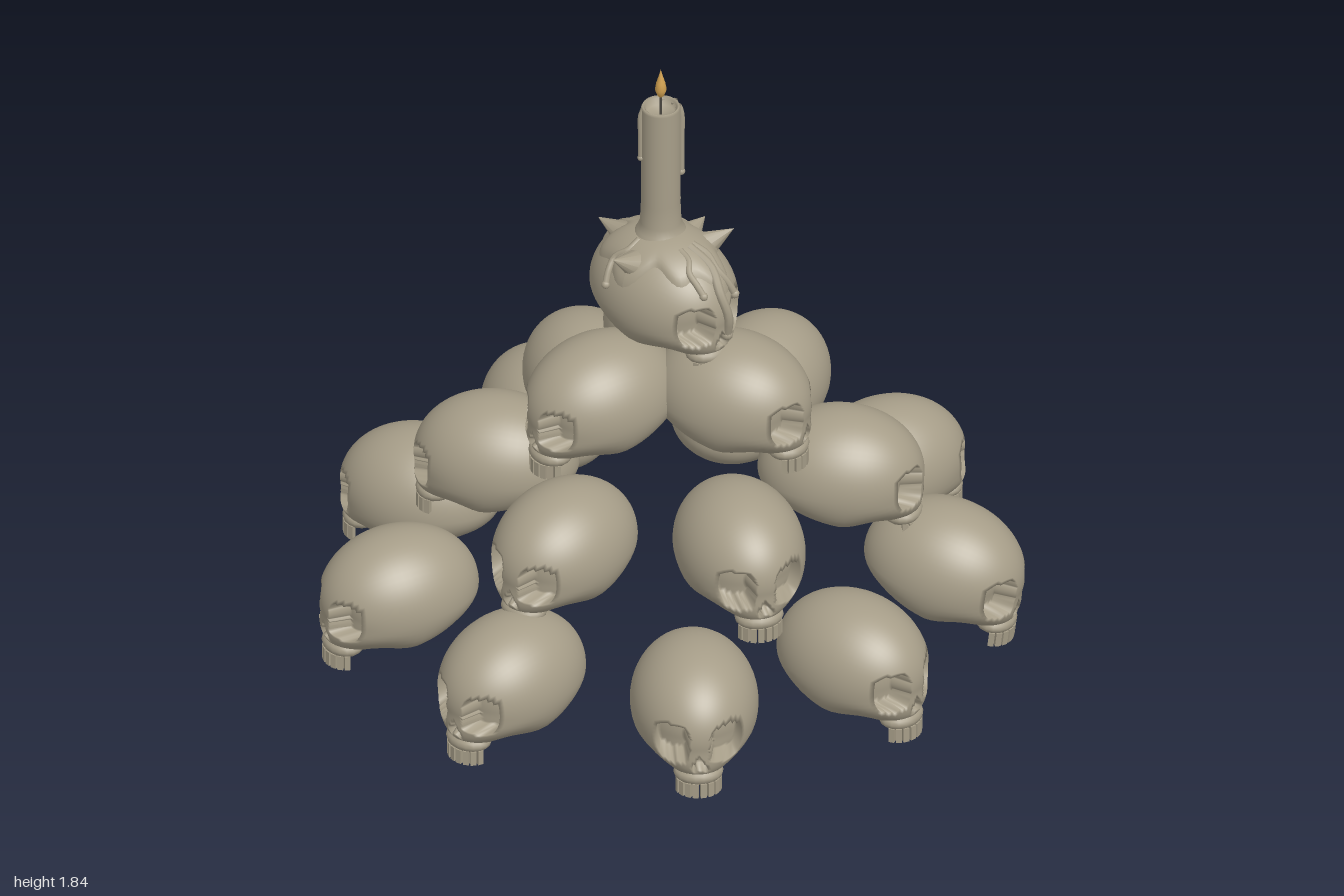
import * as THREE from 'three';
import { mergeVertices, mergeGeometries } from 'three/addons/utils/BufferGeometryUtils.js';

const mat = (name, color) => {
  const m = new THREE.MeshStandardMaterial({ color, side: THREE.DoubleSide });
  m.name = name;
  return m;
};
const step = (v, a, b) => THREE.MathUtils.smoothstep(v, a, b);
const RX = 0.182, RY = 0.19, RZ = 0.237; // cranium half sizes

// Cranium: a sphere with its pole at the face, reshaped by rules
function craniumGeometry() {
  let g = new THREE.SphereGeometry(1, 60, 42).rotateX(Math.PI / 2);
  const p = g.attributes.position;
  for (let i = 0; i < p.count; i++) {
    const t = Math.acos(THREE.MathUtils.clamp(p.getZ(i), -1, 1)) / Math.PI;
    const a = Math.atan2(p.getY(i), p.getX(i));
    const th = Math.PI * Math.pow(t, 1.6); // finer rings over the face
    let x = RX * Math.sin(th) * Math.cos(a);
    let y = RY * Math.sin(th) * Math.sin(a);
    let z = RZ * Math.cos(th);
    // flatter brow and cheeks, narrow lower face
    if (z > 0 && y < 0) {
      z += 0.03 * step(-y, 0.02, 0.12) * step(z, 0.05, 0.18);
      x *= 1 - 0.38 * step(-y, 0.04, 0.17) * step(z, 0, 0.15);
    }
    // base rises to the back and is hollow beneath
    if (y < 0) {
      y *= 1 - 0.35 * step(-z, -0.08, 0.18);
      if (y < -0.06) y += 0.075 * step(-y, 0.06, 0.12) * Math.exp(-((x / 0.09) ** 2) - ((z - 0.01) / 0.09) ** 2);
    }
    if (z > 0.08) {
      // jagged eye sockets
      const ex = (Math.abs(x) - 0.074) / 0.041, ey = (y + 0.005 + (x > 0 ? 0.006 : 0)) / 0.053;
      const ea = Math.atan2(ey, ex);
      const edge = 1 + 0.12 * Math.sin(5 * ea + (x > 0 ? 1 : 3));
      if (ex ** 4 + ey ** 4 < edge) z -= 0.06;
      // nose opening
      const ny = (y + 0.05) / -0.036;
      if (ny > 0 && ny < 1 && Math.abs(x) < 0.005 + 0.013 * ny) z -= 0.03;
    }
    p.setXYZ(i, x, y, z);
  }
  g.deleteAttribute('uv');
  g.deleteAttribute('normal');
  g = mergeVertices(g, 1e-5);
  g.computeVertexNormals();
  return g;
}

function teethGeometry() {
  const list = [];
  for (let i = 0; i < 8; i++) {
    const a = -1.25 + (2.5 * i) / 7;
    list.push(new THREE.BoxGeometry(0.017, 0.045, 0.014).rotateY(a)
      .translate(0.06 * Math.sin(a), -0.161, 0.172 + 0.052 * Math.cos(a)));
  }
  return mergeGeometries(list);
}

// Point on the cranium: azimuth from the face, polar angle from the crown
const onHead = (a, t, off = 0) => new THREE.Vector3(
  (RX + off) * Math.sin(t) * Math.sin(a), (RY + off) * Math.cos(t), (RZ + off) * Math.sin(t) * Math.cos(a));

export function createModel() {
  const root = new THREE.Group();
  const stone = mat('stone', 0xa69d88);
  const wickMat = mat('wick', 0x4a4740);
  const flameMat = mat('flame', 0xd0a050);
  const add = (parent, name, geo, m = stone) => {
    const mesh = new THREE.Mesh(geo, m);
    mesh.name = name;
    parent.add(mesh);
    return mesh;
  };

  // Skulls: x, y, z, yaw in degrees, pitch
  const cranium = craniumGeometry();
  const jaw = new THREE.SphereGeometry(0.07, 18, 10).scale(1.02, 0.5, 0.84).translate(0, -0.124, 0.174);
  const teeth = teethGeometry();
  const skull = (name, [x, y, z, yaw, pitch = 0]) => {
    const g = new THREE.Group();
    g.name = name;
    add(g, 'cranium', cranium);
    add(g, 'upperJaw', jaw);
    add(g, 'teeth', teeth);
    g.position.set(x, y, z);
    g.rotation.set(pitch, THREE.MathUtils.degToRad(yaw), 0, 'YXZ');
    root.add(g);
    return g;
  };
  const rows = {
    bottomSkull: [
      [0.06, 0.22, -0.75, 170], [-0.44, 0.22, -0.61, -142], [-0.76, 0.22, -0.2, -95],
      [-0.71, 0.22, 0.34, -75], [-0.33, 0.22, 0.71, -27], [0.17, 0.22, 0.75, 20],
      [0.64, 0.215, 0.47, 36, 0.12], [0.76, 0.22, -0.05, 86], [0.535, 0.22, -0.51, 142]],
    middleSkull: [
      [0.03, 0.52, -0.46, 175], [-0.4, 0.52, -0.26, -132], [-0.47, 0.52, 0.23, -72],
      [-0.05, 0.52, 0.49, -12], [0.4, 0.52, 0.3, 53], [0.44, 0.52, -0.2, 122]],
    upperSkull: [[0.13, 0.82, -0.2, 160], [-0.22, 0.82, 0.02, -88], [0.1, 0.82, 0.2, 35]],
  };
  for (const [name, list] of Object.entries(rows)) list.forEach((s) => skull(name, s));
  const top = skull('topSkull', [-0.01, 1.11, 0.01, 14]);

  // Melted wax cap with a ragged rim
  const cap = new THREE.SphereGeometry(1, 72, 12, 0, Math.PI * 2, 0, 1);
  const p = cap.attributes.position;
  for (let i = 0; i < p.count; i++) {
    const v = Math.acos(Math.min(1, p.getY(i)));
    const a = Math.atan2(p.getX(i), p.getZ(i));
    const rim = 0.95 + 0.16 * Math.sin(3 * a + 1) + 0.14 * Math.sin(7 * a);
    const q = onHead(a, v * rim, 0.014 * (1 - v ** 8) - 0.002);
    p.setXYZ(i, q.x, q.y, q.z);
  }
  cap.computeVertexNormals();
  add(top, 'waxCap', cap);

  // Pointed wax spikes: azimuth, reach, tip height
  for (const [a, r, h] of [[0.91, 0.2, 0.185], [-1.6, 0.2, 0.185], [2.37, 0.27, 0.19], [-2.98, 0.23, 0.15], [1.6, 0.17, 0.16]]) {
    const tip = new THREE.Vector3(r * Math.sin(a), h, r * Math.cos(a));
    const base = new THREE.Vector3(r * 0.5 * Math.sin(a), 0.125, r * 0.5 * Math.cos(a));
    const dir = tip.clone().sub(base);
    const spike = add(top, 'waxSpike', new THREE.ConeGeometry(0.05, dir.length(), 12));
    spike.position.copy(base).addScaledVector(dir, 0.5);
    spike.quaternion.setFromUnitVectors(new THREE.Vector3(0, 1, 0), dir.normalize());
  }

  // Wax runs down the head: azimuth, end polar angle, thickness
  const drip = (parent, name, pts, r) => {
    add(parent, name, new THREE.TubeGeometry(new THREE.CatmullRomCurve3(pts), 14, r, 8));
    add(parent, name + 'End', new THREE.SphereGeometry(r * 1.25, 10, 8)).position.copy(pts[pts.length - 1]);
  };
  for (const [a, end, r] of [[0.08, 1.9, 0.014], [0.3, 1.3, 0.011], [-0.35, 1.1, 0.01], [1.9, 1.3, 0.01], [-1.9, 1.25, 0.01], [3.1, 1.5, 0.011]]) {
    const pts = [0, 1, 2, 3, 4].map((i) => onHead(a + 0.07 * Math.sin(i * 2.1), 0.4 + (end - 0.4) * i / 4, 0.006));
    drip(top, 'waxRun', pts, r);
  }

  // Candle with a hollow top
  const candle = new THREE.Group();
  candle.name = 'candle';
  candle.position.set(-0.01, 0, -0.008);
  root.add(candle);
  const profile = [[0.08, 1.285], [0.068, 1.308], [0.059, 1.33], [0.056, 1.4], [0.056, 1.712], [0.052, 1.72], [0.045, 1.715], [0.04, 1.695], [0, 1.69]];
  add(candle, 'candleBody', new THREE.LatheGeometry(profile.map((q) => new THREE.Vector2(...q)), 32));
  for (const [a, low, r] of [[1.2, 1.49, 0.01], [1.75, 1.38, 0.011], [2.5, 1.58, 0.009], [-1.9, 1.55, 0.008]]) {
    const pts = [[0.05, 1.714], [0.058, 1.69], [0.058, (1.69 + low) / 2], [0.058, low]]
      .map(([d, y]) => new THREE.Vector3(d * Math.sin(a), y, d * Math.cos(a)));
    drip(candle, 'candleDrip', pts, r);
  }

  // Wick and flame
  add(candle, 'wick', new THREE.CylinderGeometry(0.004, 0.004, 0.08, 8), wickMat).position.y = 1.72;
  const flame = [[0, 1.745], [0.01, 1.755], [0.017, 1.775], [0.013, 1.797], [0.006, 1.82], [0, 1.842]];
  add(candle, 'flame', new THREE.LatheGeometry(flame.map((q) => new THREE.Vector2(...q)), 16), flameMat);
  return root;
}
